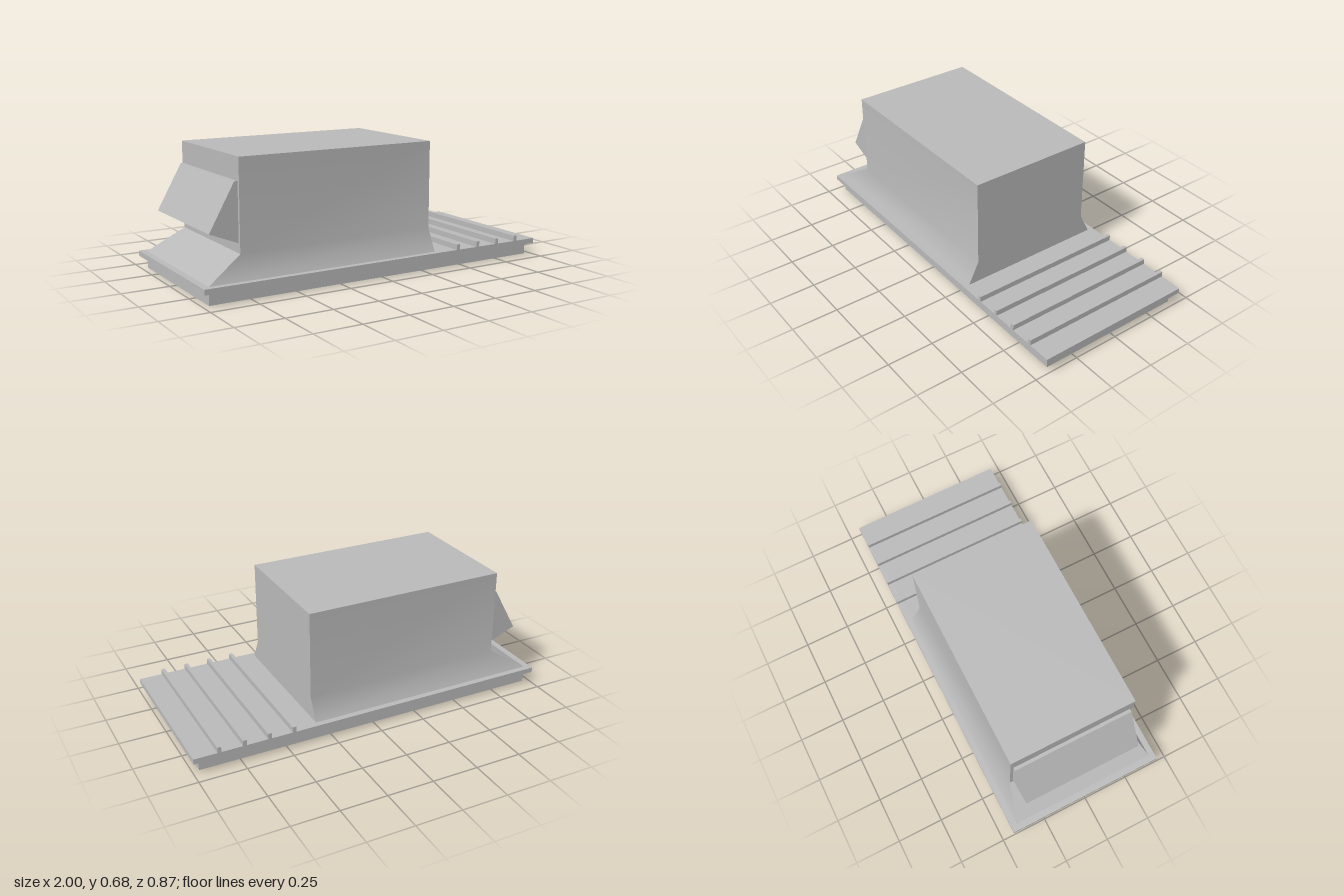
import * as THREE from 'three';

const grey = new THREE.MeshStandardMaterial({ color: 0xb8b8b8, side: THREE.DoubleSide });
grey.name = 'plain grey';

// Hood and base measurements
const X0 = -0.773, X1 = 0.333, FLARE_X = -0.965;
const Z = 0.346, FLARE_Z = 0.405;
const DECK = 0.091, BEND = 0.21, TOP = 0.677;

function rectPath(x0, x1, y0, y1, Type = THREE.Path) {
  return new Type([[x0, y0], [x1, y0], [x1, y1], [x0, y1]].map(p => new THREE.Vector2(...p)));
}

// Horizontal frame: outer rectangle with a rectangular hole
function frame(outer, inner, y, height) {
  const shape = rectPath(...outer, THREE.Shape);
  shape.holes.push(rectPath(...inner));
  return new THREE.ExtrudeGeometry(shape, { depth: height, bevelEnabled: false })
    .rotateX(-Math.PI / 2).translate(0, y, 0);
}

// Sheet strip lofted through pairs of points; smooth keeps shared normals
function strip(pairs, smooth = false) {
  const index = [];
  for (let i = 0; i < pairs.length - 1; i++) {
    const a = i * 2;
    index.push(a, a + 1, a + 3, a, a + 3, a + 2);
  }
  let geo = new THREE.BufferGeometry();
  geo.setAttribute('position', new THREE.Float32BufferAttribute(pairs.flat(2), 3));
  geo.setIndex(index);
  if (!smooth) geo = geo.toNonIndexed();
  geo.computeVertexNormals();
  return geo;
}

export function createModel() {
  const model = new THREE.Group();
  model.name = 'hoodedVent';
  const add = (name, geo, parent = model) => {
    const mesh = new THREE.Mesh(geo, grey);
    mesh.name = name;
    parent.add(mesh);
    return mesh;
  };

  // Base: thin skirt below an overhanging plate, open under the hood
  add('skirt', frame([-0.965, 0.965, -0.405, 0.405], [-0.959, 0.959, -0.399, 0.399], 0, 0.063));
  add('basePlate', frame([-1, 1, -0.437, 0.437], [-0.955, X1, -0.397, 0.397], 0.063, DECK - 0.063));

  // Cross ribs on the open end of the plate
  for (let i = 0; i < 4; i++) {
    add('rib' + (i + 1), new THREE.BoxGeometry(0.02, 0.03, 0.874)
      .translate(0.467 + i * 0.133, DECK + 0.015, 0));
  }

  // Hood shell
  const hood = new THREE.Group();
  hood.name = 'hood';
  model.add(hood);

  // Side walls, softly blended into the flare
  add('frontWall', strip([
    [[FLARE_X, DECK, FLARE_Z], [X1, DECK, FLARE_Z]],
    [[X0, BEND, Z], [X1, BEND, Z]],
    [[X0, TOP, Z], [X1, TOP, Z]],
  ], true), hood);
  add('backWall', strip([
    [[X1, DECK, -FLARE_Z], [FLARE_X, DECK, -FLARE_Z]],
    [[X1, BEND, -Z], [X0, BEND, -Z]],
    [[X1, TOP, -Z], [X0, TOP, -Z]],
  ], true), hood);
  add('roof', strip([
    [[X0, TOP, Z], [X1, TOP, Z]],
    [[X0, TOP, -Z], [X1, TOP, -Z]],
  ]), hood);

  // Flat closed end with flared feet
  const end = new THREE.Shape([
    [-FLARE_Z, DECK], [FLARE_Z, DECK], [Z, BEND], [Z, TOP], [-Z, TOP], [-Z, BEND],
  ].map(p => new THREE.Vector2(...p)));
  add('endWall', new THREE.ShapeGeometry(end).rotateY(Math.PI / 2).translate(X1, 0, 0), hood);

  // Opening end: wall with a window above a sloping apron
  const wall = rectPath(-Z, Z, BEND, TOP, THREE.Shape);
  wall.holes.push(rectPath(-0.33, 0.33, 0.26, 0.56));
  add('windowWall', new THREE.ShapeGeometry(wall).rotateY(-Math.PI / 2).translate(X0, 0, 0), hood);
  add('apron', strip([
    [[FLARE_X, DECK, -FLARE_Z], [FLARE_X, DECK, FLARE_Z]],
    [[X0, BEND, -Z], [X0, BEND, Z]],
  ]), hood);

  // Projecting cover over the window
  const profile = [[X0, 0.26], [-0.925, 0.32], [-0.79, 0.56], [X0, 0.56]];
  add('windowCover', strip(profile.map(([x, y]) => [[x, y, -0.33], [x, y, 0.33]])), hood);
  const cheek = new THREE.Shape(profile.map(p => new THREE.Vector2(...p)));
  add('coverCheekFront', new THREE.ShapeGeometry(cheek).translate(0, 0, 0.33), hood);
  add('coverCheekBack', new THREE.ShapeGeometry(cheek).translate(0, 0, -0.33), hood);

  return model;
}
